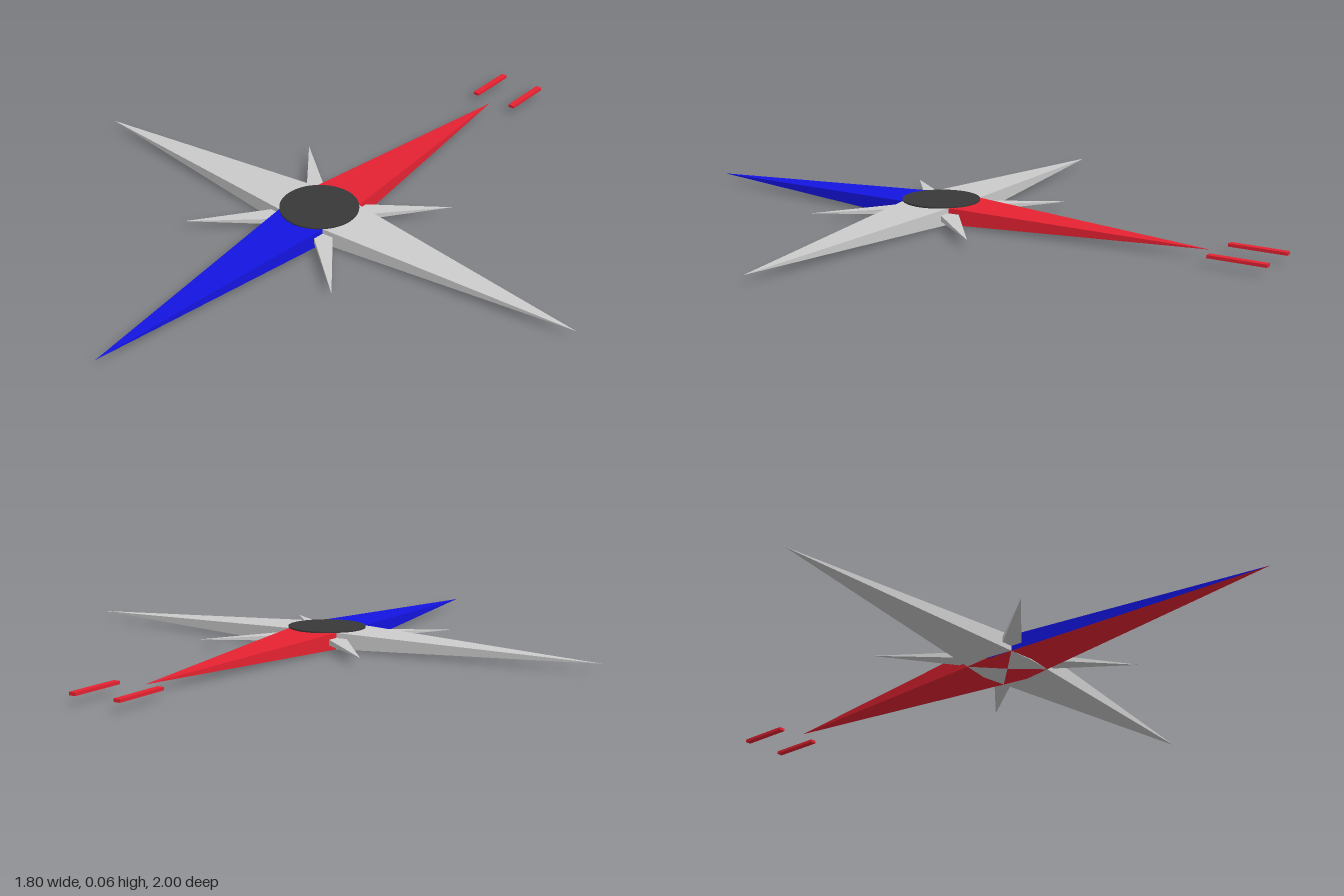
import * as THREE from 'three';

const mat = (color) => new THREE.MeshStandardMaterial({ color, flatShading: true });
const CENTRE_Z = 0.097, MID_Y = 0.028;

// Faces of a slim four-sided spike pointing along +z; each face runs from a base edge to the tip
function spikeGeometry(w, h, length, faces) {
  const corners = { tl: [-w, h, 0], bl: [-w, -h, 0], br: [w, -h, 0], tr: [w, h, 0] };
  const edges = { top: ['tr', 'tl'], left: ['tl', 'bl'], bottom: ['bl', 'br'], right: ['br', 'tr'] };
  const pos = faces.flatMap((f) => [...corners[edges[f][0]], ...corners[edges[f][1]], 0, 0, length]);
  const g = new THREE.BufferGeometry();
  g.setAttribute('position', new THREE.Float32BufferAttribute(pos, 3));
  g.computeVertexNormals();
  return g;
}

function spike(name, angle, w, h, length, upperMat, underMat) {
  const group = new THREE.Group();
  group.name = name;
  const body = new THREE.Mesh(spikeGeometry(w, h, length, ['top', 'left', 'right']), upperMat);
  const under = new THREE.Mesh(spikeGeometry(w, h, length, ['bottom']), underMat);
  body.name = name + 'Body';
  under.name = name + 'Underside';
  group.add(body, under);
  group.rotation.y = angle;
  return group;
}

export function createModel() {
  const model = new THREE.Group();
  model.name = 'compassRose';
  const grey = mat(0xcccccc), red = mat(0xe62232), blue = mat(0x1414e2), dark = mat(0x383838);

  const star = new THREE.Group();
  star.name = 'star';
  star.position.set(0, MID_Y, CENTRE_Z);
  model.add(star);

  // Four long points; the south point has a red underside
  const W = 0.094, H = 0.028, L = 0.9;
  star.add(spike('southPoint', 0, W, H, L, blue, red));
  star.add(spike('northPoint', Math.PI, W, H, L, red, red));
  star.add(spike('eastPoint', Math.PI / 2, W, H, L, grey, grey));
  star.add(spike('westPoint', -Math.PI / 2, W, H, L, grey, grey));

  // Four short diagonal points
  for (let i = 0; i < 4; i++) {
    star.add(spike('diagonalPoint' + (i + 1), Math.PI / 4 + i * Math.PI / 2, 0.042, 0.014, 0.405, grey, grey));
  }

  // Thin round cap over the crossing
  const hub = new THREE.Mesh(new THREE.CylinderGeometry(0.12, 0.12, 0.007, 48), dark);
  hub.name = 'hubCap';
  hub.position.y = 0.0255;
  star.add(hub);

  // Pair of plain marker bars beyond the north point
  for (const side of [-1, 1]) {
    const bar = new THREE.Mesh(new THREE.BoxGeometry(0.02, 0.009, 0.173), red);
    bar.name = side > 0 ? 'leftMarkerBar' : 'rightMarkerBar';
    bar.position.set(side * 0.072, 0.031, -0.9135);
    model.add(bar);
  }
  return model;
}
